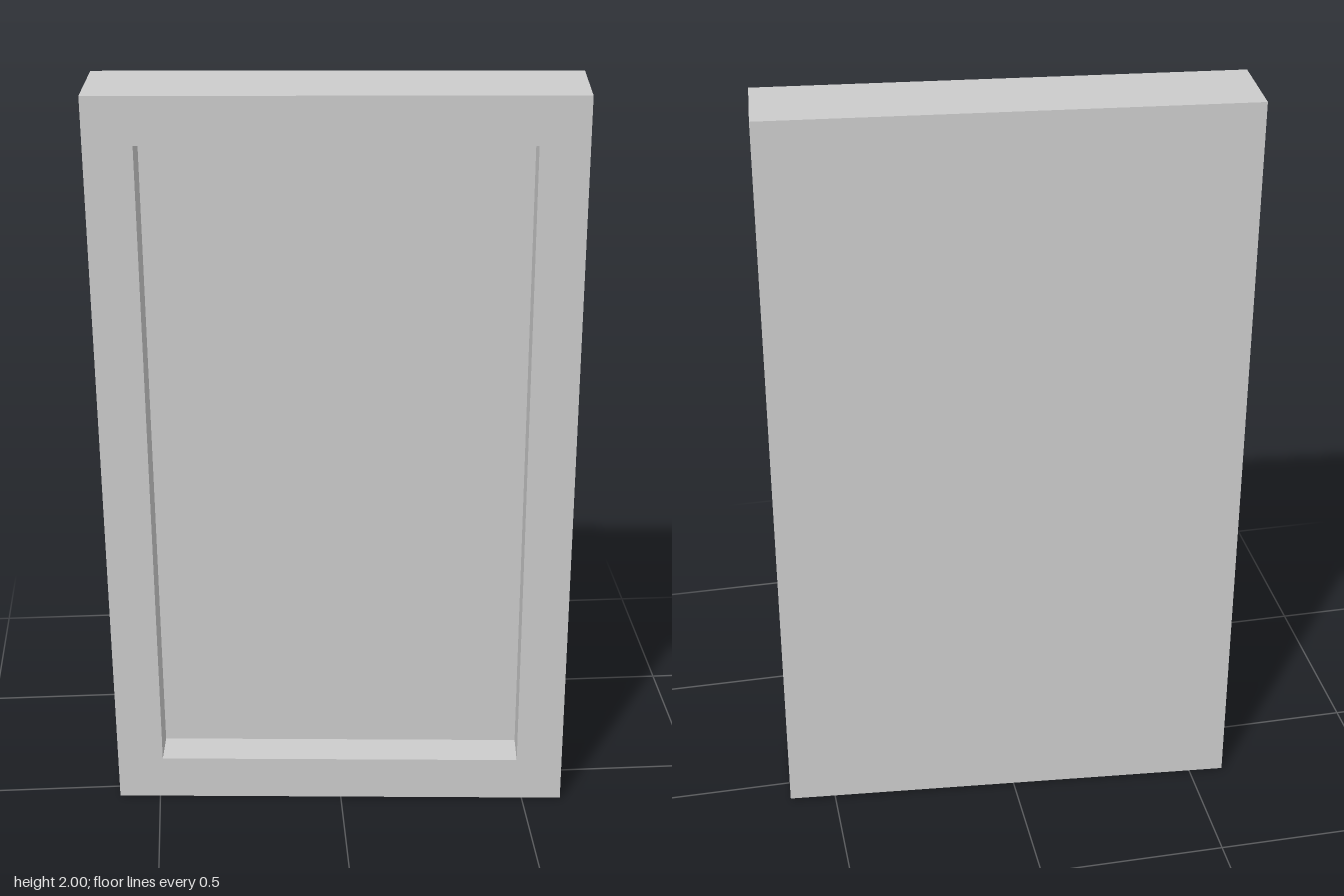
import * as THREE from 'three';

const WIDTH = 1.22, HEIGHT = 1.99, DEPTH = 0.229;
const BORDER = 0.123, RECESS = 0.1;

// Adds a centred rectangle outline to a shape or path
function rectangle(path, w, h) {
  path.moveTo(-w / 2, -h / 2);
  path.lineTo(w / 2, -h / 2);
  path.lineTo(w / 2, h / 2);
  path.lineTo(-w / 2, h / 2);
  path.closePath();
  return path;
}

export function createModel() {
  const group = new THREE.Group();
  group.name = 'framedPanel';
  const material = new THREE.MeshStandardMaterial({ color: 0xcccccc, flatShading: true });

  // Solid slab behind the recess
  const slabDepth = DEPTH - RECESS;
  const panel = new THREE.Mesh(new THREE.BoxGeometry(WIDTH, HEIGHT, slabDepth), material);
  panel.name = 'backPanel';
  panel.position.z = -DEPTH / 2 + slabDepth / 2;

  // Raised border around the recess
  const outline = rectangle(new THREE.Shape(), WIDTH, HEIGHT);
  outline.holes.push(rectangle(new THREE.Path(), WIDTH - 2 * BORDER, HEIGHT - 2 * BORDER));
  const frame = new THREE.Mesh(
    new THREE.ExtrudeGeometry(outline, { depth: RECESS, bevelEnabled: false }), material);
  frame.name = 'frontFrame';
  frame.position.z = DEPTH / 2 - RECESS;

  // The whole piece is turned and leans slightly
  const body = new THREE.Group();
  body.name = 'tiltedBody';
  body.add(panel, frame);
  body.rotation.set(0.017, -0.083, 0.0065, 'XZY');
  body.position.y = 1;
  group.add(body);
  return group;
}
